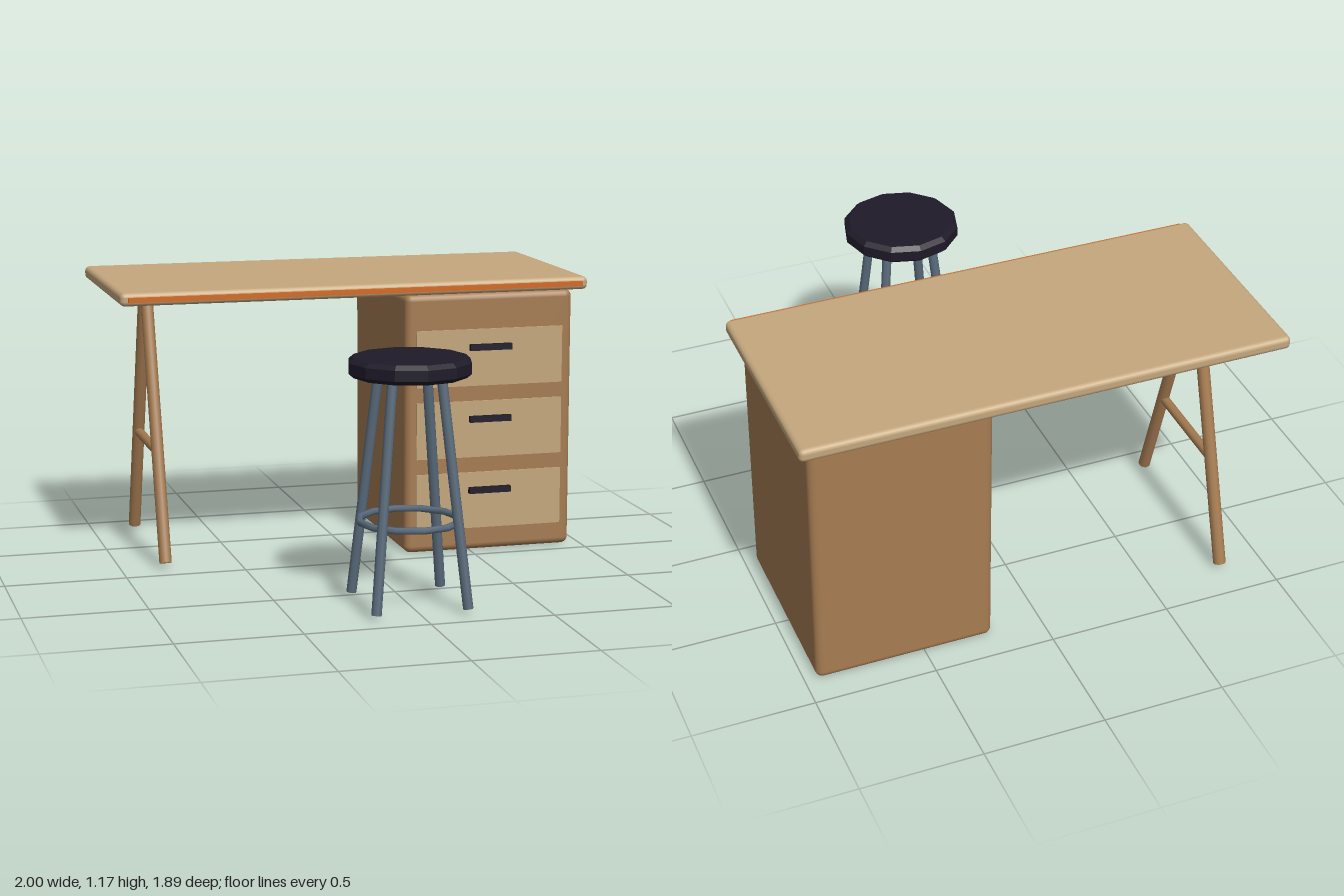
import * as THREE from 'three';
import { RoundedBoxGeometry } from 'three/addons/geometries/RoundedBoxGeometry.js';

const paint = (color, flatShading = false) => new THREE.MeshStandardMaterial({ color, flatShading });
const MAT = {
  top: paint(0xc4a77d),
  wood: paint(0xa67c52),
  trim: paint(0xd2691e),
  dark: paint(0x1e1a28, true),
  steel: paint(0x5a6b7c),
};

function add(parent, name, geometry, material, x = 0, y = 0, z = 0) {
  const mesh = new THREE.Mesh(geometry, material);
  mesh.name = name;
  mesh.position.set(x, y, z);
  parent.add(mesh);
  return mesh;
}

function group(parent, name, x = 0, y = 0, z = 0) {
  const g = new THREE.Group();
  g.name = name;
  g.position.set(x, y, z);
  parent.add(g);
  return g;
}

// Round bar between two points
function bar(parent, name, a, b, radius, material, sides = 8) {
  const from = new THREE.Vector3(...a), to = new THREE.Vector3(...b);
  const dir = to.clone().sub(from);
  const mesh = add(parent, name, new THREE.CylinderGeometry(radius, radius, dir.length(), sides), material);
  mesh.position.copy(from).add(to).multiplyScalar(0.5);
  mesh.quaternion.setFromUnitVectors(new THREE.Vector3(0, 1, 0), dir.normalize());
  return mesh;
}

function buildDesk(parent) {
  const desk = group(parent, 'desk');

  // Worktop with a coloured strip along its front edge
  add(desk, 'worktop', new RoundedBoxGeometry(2, 0.055, 0.92, 2, 0.02), MAT.top, 0, 1.144, -0.483);
  add(desk, 'edgeStrip', new THREE.BoxGeometry(1.94, 0.02, 0.03), MAT.trim, 0, 1.144, -0.022);

  // Drawer cabinet
  const cabinet = group(desk, 'cabinet', 0.583, 0, 0);
  add(cabinet, 'cabinetBody', new RoundedBoxGeometry(0.738, 1.112, 0.803, 3, 0.03), MAT.wood, 0, 0.556, -0.481);
  for (const y of [0.837, 0.529, 0.22]) {
    const drawer = group(cabinet, 'drawer', 0, y, 0);
    add(drawer, 'drawerFront', new THREE.BoxGeometry(0.645, 0.243, 0.02), MAT.top, 0, 0, -0.083);
    add(drawer, 'drawerHandle', new THREE.BoxGeometry(0.184, 0.026, 0.024), MAT.dark, 0, 0.045, -0.063);
  }

  // A-frame trestle at the other end
  const trestle = group(desk, 'trestle', -0.817, 0, -0.475);
  for (const s of [-1, 1]) {
    bar(trestle, 'trestleLeg', [0, 0.024, s * 0.365], [0, 1.118, s * 0.02], 0.026, MAT.wood, 10);
  }
  bar(trestle, 'trestleBrace', [0, 0.47, -0.22], [0, 0.47, 0.22], 0.02, MAT.wood);
}

function buildStool(parent) {
  const stool = group(parent, 'stool', 0, 0, 0.7);

  // Twelve-sided seat with chamfered rims
  const profile = [[0, 0.914], [0.225, 0.914], [0.245, 0.931], [0.245, 0.973], [0.225, 0.99], [0, 0.99]]
    .map(([r, y]) => new THREE.Vector2(r, y));
  add(stool, 'seat', new THREE.LatheGeometry(profile, 12), MAT.dark);

  // Four splayed legs on the diagonals
  for (const sx of [-1, 1]) for (const sz of [-1, 1]) {
    bar(stool, 'stoolLeg', [sx * 0.185, 0.018, sz * 0.185], [sx * 0.098, 0.925, sz * 0.098], 0.021, MAT.steel);
  }

  // Foot ring
  const ring = add(stool, 'footRing', new THREE.TorusGeometry(0.2, 0.014, 6, 12), MAT.steel, 0, 0.343, 0);
  ring.rotation.x = Math.PI / 2;
}

export function createModel() {
  const model = new THREE.Group();
  model.name = 'deskAndStool';
  buildDesk(model);
  buildStool(model);
  return model;
}
